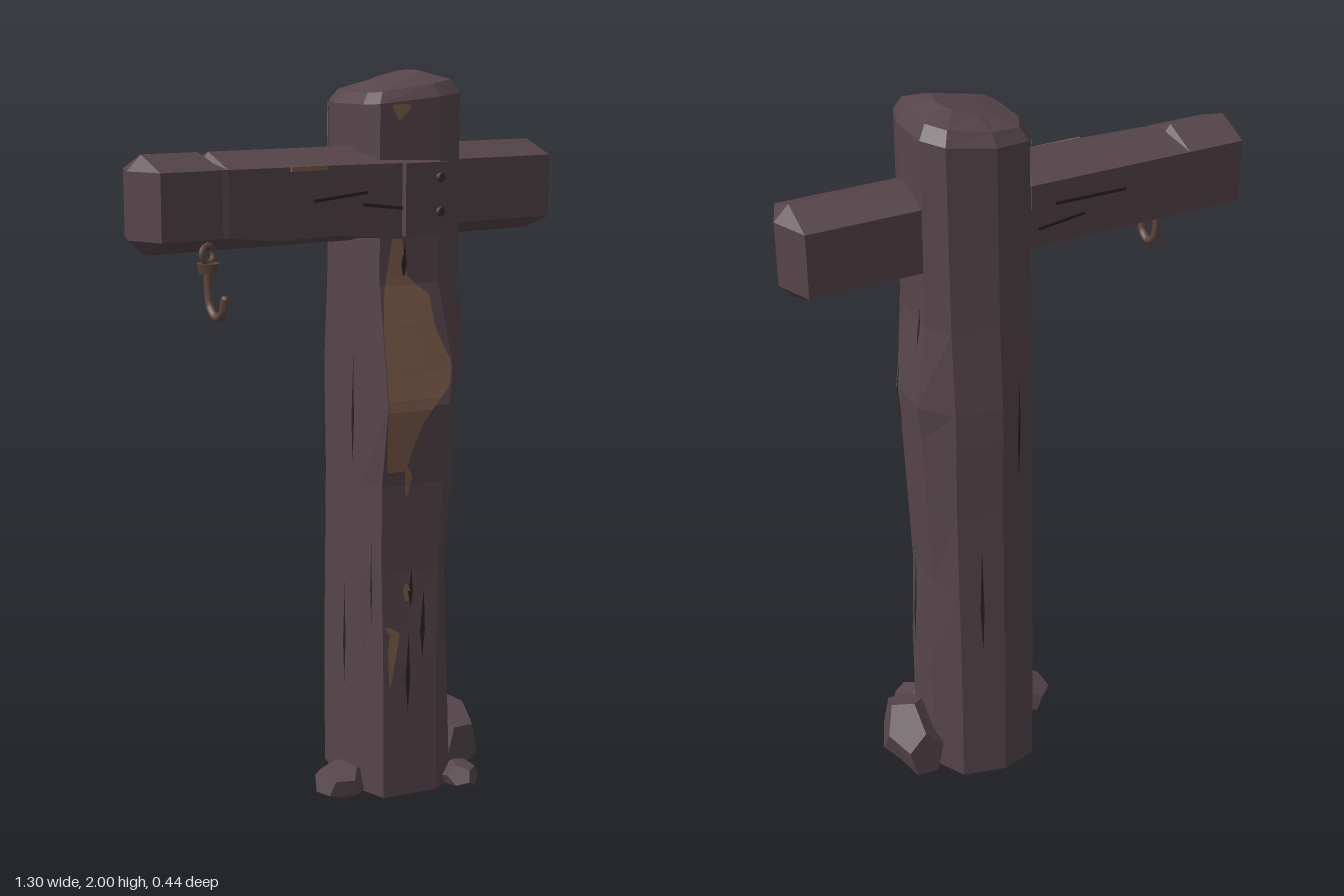
import * as THREE from 'three';

const mat = (name, color, side = THREE.FrontSide) => {
  const m = new THREE.MeshStandardMaterial({ color, side });
  m.name = name;
  return m;
};
const V = (x, y, z) => new THREE.Vector3(x, y, z);
const lerp = THREE.MathUtils.lerp;

// Faceted solid through a list of rings, closed at both ends
function loft(rings) {
  const pos = [];
  const tri = (a, b, c) => {
    const n = b.clone().sub(a).cross(c.clone().sub(a));
    if (n.length() > 1e-9) for (const p of [a, b, c]) pos.push(p.x, p.y, p.z);
  };
  const centre = r => r.reduce((s, p) => s.add(p), V(0, 0, 0)).divideScalar(r.length);
  const n = rings[0].length, first = rings[0], last = rings[rings.length - 1];
  const c0 = centre(first), c1 = centre(last);
  for (let i = 0; i < n; i++) {
    const k = (i + 1) % n;
    for (let j = 0; j + 1 < rings.length; j++) {
      const a = rings[j][i], b = rings[j][k], c = rings[j + 1][k], d = rings[j + 1][i];
      tri(a, b, c);
      tri(a, c, d);
    }
    tri(first[k], first[i], c0);
    tri(last[i], last[k], c1);
  }
  const g = new THREE.BufferGeometry();
  g.setAttribute('position', new THREE.Float32BufferAttribute(pos, 3));
  g.computeVertexNormals();
  return g;
}

// Post profile: y, front ridge x and z, right chamfer x and z, right x, back z
const POST = [
  [0, 0.19, 0.17, 0.26, 0.14, 0.32, -0.22],
  [0.4, 0.19, 0.165, 0.25, 0.13, 0.32, -0.22],
  [0.65, 0.2, 0.155, 0.25, 0.115, 0.31, -0.215],
  [0.9, 0.21, 0.155, 0.27, 0.12, 0.32, -0.21],
  [1.12, 0.21, 0.185, 0.25, 0.13, 0.33, -0.215],
  [1.22, 0.23, 0.172, 0.29, 0.13, 0.34, -0.215],
  [1.45, 0.2, 0.14, 0.28, 0.12, 0.31, -0.2],
  [1.93, 0.2, 0.14, 0.28, 0.12, 0.31, -0.19],
];
function postRing(y) {
  let j = 0;
  while (j < POST.length - 2 && y > POST[j + 1][0]) j++;
  const a = POST[j], b = POST[j + 1], t = (y - a[0]) / (b[0] - a[0]);
  const [, bx, bz, cx, cz, dx, gz] = a.map((v, i) => lerp(v, b[i], t));
  return [
    [0.03, bz - 0.03], [bx, bz], [cx, cz], [dx, 0.03], [dx, -0.1],
    [0.27, gz + 0.03], [0.15, gz], [0.05, gz + 0.025], [0.01, -0.08], [0.01, 0.06],
  ].map(([x, z]) => V(x, y, z));
}

// Thin skin on one post face; rows are [y, start, end] across the face
function postSkin(face, rows) {
  const pos = [], pair = (y, u0, u1) => {
    const r = postRing(y), a = r[face], b = r[(face + 1) % r.length];
    const out = V(-(b.z - a.z), 0, b.x - a.x).normalize().multiplyScalar(0.004);
    return [u0, u1].map(u => a.clone().lerp(b, u).add(out));
  };
  for (let i = 0; i + 1 < rows.length; i++) {
    const steps = Math.max(1, Math.ceil((rows[i + 1][0] - rows[i][0]) / 0.03));
    for (let s = 0; s < steps; s++) {
      const at = t => pair(...rows[i].map((v, k) => lerp(v, rows[i + 1][k], t)));
      const [a, b] = at(s / steps), [d, c] = at((s + 1) / steps);
      for (const p of [a, b, c, a, c, d]) pos.push(p.x, p.y, p.z);
    }
  }
  const g = new THREE.BufferGeometry();
  g.setAttribute('position', new THREE.Float32BufferAttribute(pos, 3));
  g.computeVertexNormals();
  return g;
}

export function createModel() {
  const group = new THREE.Group();
  const wood = mat('dark wood', 0x56454b);
  const stone = mat('stone', 0x57474c);
  const bare = mat('bare wood', 0x7d5d4a, THREE.DoubleSide);
  const crack = mat('crack', 0x2b2226, THREE.DoubleSide);
  const rust = mat('rusty iron', 0x5f473e);
  const iron = mat('dark iron', 0x3a2f33);
  const add = (name, geo, m, x = 0, y = 0, z = 0) => {
    const mesh = new THREE.Mesh(geo, m);
    mesh.name = name;
    mesh.position.set(x, y, z);
    group.add(mesh);
    return mesh;
  };

  // Post with a worn, domed top
  const rings = POST.map(r => postRing(r[0]));
  const top = (s, y, slope) => postRing(1.93).map(p =>
    V(0.17 + (p.x - 0.17) * s, y + (p.x - 0.17) * slope, -0.02 + (p.z + 0.02) * s));
  rings[rings.length - 1] = top(1, 1.935, 0.1);
  rings.push(top(0.86, 1.968, 0.12), top(0.4, 1.99, 0.1));
  add('post', loft(rings), wood);

  // Crossbeam, six-sided with wedge ends, swelling toward the post in front
  const hex = (x, front = 0.1, ridge = 1.81, low = 1.6) => [
    V(x, ridge, 0), V(x, 1.77, front), V(x, low, front),
    V(x, 1.56, 0), V(x, 1.6, -0.1), V(x, 1.77, -0.1)];
  const wedge = x => [1.77, 1.77, 1.6, 1.6, 1.6, 1.77].map(y => V(x, y, 0));
  add('crossbeam', loft([
    wedge(-0.65), hex(-0.61), hex(-0.45), hex(-0.435, 0.096, 1.792), hex(-0.42),
    hex(-0.28, 0.108, 1.81, 1.585), hex(-0.1, 0.118, 1.81, 1.59), hex(0.05, 0.138, 1.81, 1.575),
    hex(0.2, 0.15, 1.81, 1.585), hex(0.23), hex(0.61), wedge(0.65),
  ]), wood);

  // Joint plate and its nails
  add('jointPlate', new THREE.BoxGeometry(0.14, 0.19, 0.02), wood, 0.15, 1.675, 0.148);
  for (const y of [1.64, 1.73]) {
    const nail = add('nail', new THREE.CylinderGeometry(0.012, 0.014, 0.012, 6), iron, 0.19, y, 0.162);
    nail.rotation.x = Math.PI / 2;
  }

  // Bare wood where the surface has peeled
  add('frontPeel', postSkin(0, [
    [0.94, 0.06, 0.36], [1.0, 0.03, 0.45], [1.08, 0, 0.6], [1.17, 0, 0.96], [1.24, 0, 0.97],
    [1.33, 0, 0.82], [1.42, 0.05, 0.8], [1.47, 0.1, 0.46], [1.57, 0.2, 0.36]]), bare);
  add('smallPeel', postSkin(0, [[0.33, 0.1, 0.13], [0.43, 0.08, 0.25], [0.48, 0.12, 0.3], [0.5, 0.02, 0.12]]), bare);
  add('smallPeel', postSkin(0, [[0.87, 0.38, 0.42], [0.92, 0.36, 0.48], [0.95, 0.36, 0.42]]), bare);
  add('smallPeel', postSkin(0, [[0.57, 0.4, 0.46], [0.6, 0.36, 0.5], [0.62, 0.4, 0.44]]), bare);
  add('topPeel', postSkin(0, [[1.88, 0.3, 0.34], [1.91, 0.2, 0.5], [1.92, 0.2, 0.5]]), bare);
  add('backPeel', postSkin(7, [[1.68, 0, 0.04], [1.78, 0, 0.12], [1.9, 0, 0.16], [1.92, 0, 0.3]]), bare);

  // Long cracks: face, place across it, bottom, top
  for (const [face, u, y0, y1] of [
    [0, 0.45, 0.25, 0.48], [0, 0.5, 0.55, 0.66], [0, 0.72, 0.4, 0.6], [0, 0.4, 1.46, 1.56],
    [3, 0.2, 0.35, 0.72], [3, 0.1, 1.1, 1.3], [3, 0.8, 1.38, 1.5], [2, 0.5, 0.2, 0.4],
    [5, 0.5, 0.45, 0.8], [6, 0.5, 1.0, 1.3], [8, 0.4, 0.3, 0.6], [8, 0.7, 0.95, 1.25], [9, 0.5, 0.5, 0.75],
  ]) {
    const w = 0.045;
    add('crack', postSkin(face, [[y0, u, u], [lerp(y0, y1, 0.4), u - w, u + w], [y1, u + 0.02, u + 0.02]]), crack);
  }
  // Cracks along the front and back of the beam
  for (const [x, y, z, len, turn] of [
    [-0.1, 1.69, 0.121, 0.16, 0.1], [0.02, 1.66, 0.137, 0.12, -0.12],
    [-0.2, 1.71, -0.101, 0.3, 0.05], [-0.08, 1.66, -0.101, 0.15, -0.08]]) {
    const m = add('beamCrack', new THREE.BoxGeometry(len, 0.008, 0.008), crack, x, y, z);
    m.rotation.set(0, -0.08 * Math.sign(z), turn);
  }
  add('beamPeel', new THREE.BoxGeometry(0.13, 0.012, 0.006), bare, -0.18, 1.765, 0.113);

  // Hanging hook: eye, collar and curved hook opening to the front
  const hx = -0.48, hz = 0.095;
  const eye = add('hookEye', new THREE.TorusGeometry(0.022, 0.008, 6, 12), rust, hx, 1.565, hz);
  eye.rotation.y = 0.3;
  add('hookCollar', new THREE.CylinderGeometry(0.03, 0.024, 0.025, 8), rust, hx, 1.53, hz);
  const bend = new THREE.CatmullRomCurve3([
    V(hx, 1.54, hz), V(hx, 1.47, hz), V(hx, 1.43, hz + 0.01), V(hx, 1.41, hz + 0.04),
    V(hx, 1.425, hz + 0.07), V(hx, 1.46, hz + 0.082)]);
  add('hook', new THREE.TubeGeometry(bend, 24, 0.011, 8), rust);
  add('hookTip', new THREE.SphereGeometry(0.011, 8, 6), rust, hx, 1.46, hz + 0.082);

  // Stones around the foot, flattened on the ground
  for (const [x, z, rx, h, rz, turn] of [
    [0.355, -0.025, 0.088, 0.19, 0.135, 0.5],
    [0.275, 0.165, 0.056, 0.065, 0.06, 1.1],
    [-0.045, 0.03, 0.075, 0.09, 0.075, 0.2],
  ]) {
    const g = new THREE.DodecahedronGeometry(1, 0).rotateY(turn).rotateZ(0.3);
    const p = g.attributes.position;
    for (let i = 0; i < p.count; i++)
      p.setXYZ(i, p.getX(i) * rx, Math.max(0, (p.getY(i) + 0.45) * h / 1.4), p.getZ(i) * rz);
    g.computeVertexNormals();
    add('stone', g, stone, x, 0, z);
  }
  return group;
}
